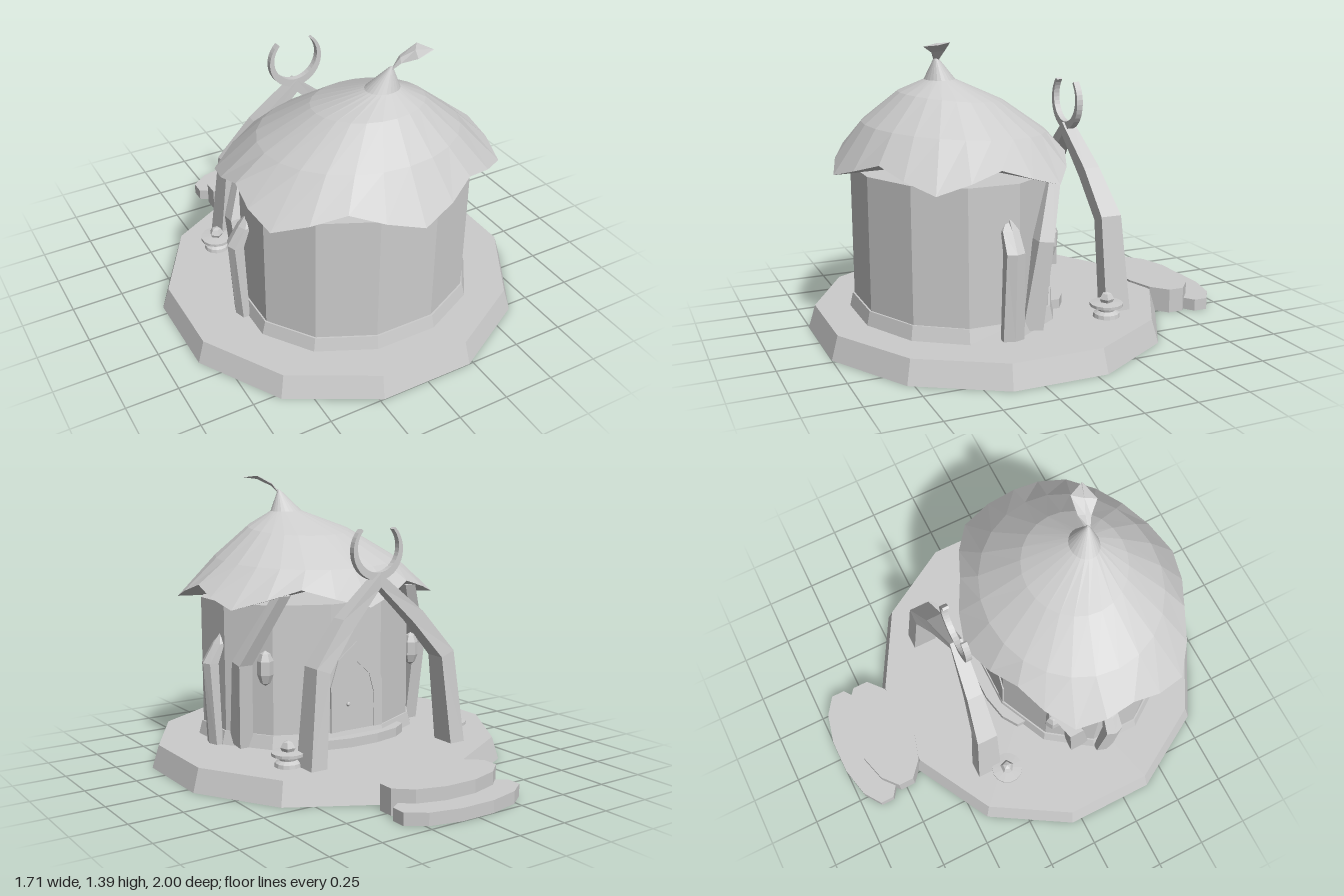
import * as THREE from 'three';

const stone = new THREE.MeshStandardMaterial({ color: 0xcccccc, side: THREE.DoubleSide });
stone.name = 'plain grey';

// Faceted normals
function faceted(geo) {
  const g = geo.index ? geo.toNonIndexed() : geo;
  g.computeVertexNormals();
  return g;
}

// Closed solid through matching cross-sections (arrays of [x, y, z])
function loft(sections) {
  const tris = [];
  const n = sections[0].length;
  for (let s = 0; s < sections.length - 1; s++) {
    for (let i = 0; i < n; i++) {
      const j = (i + 1) % n;
      const a = sections[s][i], b = sections[s][j];
      const c = sections[s + 1][j], d = sections[s + 1][i];
      tris.push([a, b, c], [a, c, d]);
    }
  }
  const first = sections[0], last = sections[sections.length - 1];
  for (let i = 1; i < n - 1; i++) {
    tris.push([first[0], first[i + 1], first[i]], [last[0], last[i], last[i + 1]]);
  }
  // Turn the faces outward using the sign of the volume
  const v = (p) => new THREE.Vector3(...p);
  let volume = 0;
  for (const [a, b, c] of tris) volume += v(a).dot(v(b).cross(v(c)));
  if (volume < 0) tris.forEach((t) => t.reverse());
  const geo = new THREE.BufferGeometry();
  geo.setAttribute('position', new THREE.Float32BufferAttribute(tris.flat(2), 3));
  return faceted(geo);
}

// Elliptical ring of points, raised at the front by tilt; wave scallops it with [radius factor, rise]
function ring(cx, cz, rx, rz, y, tilt = 0, wave = [[1, 0]]) {
  return Array.from({ length: 24 }, (_, i) => {
    const t = (i / 24) * Math.PI * 2;
    const [f, rise] = wave[i % wave.length];
    return [cx + Math.sin(t) * rx * f, y + rise + tilt * Math.cos(t), cz + Math.cos(t) * rz * f];
  });
}

export function createModel() {
  const model = new THREE.Group();
  model.name = 'hut';

  const add = (name, geo, x = 0, y = 0, z = 0) => {
    const m = new THREE.Mesh(geo, stone);
    m.name = name;
    m.position.set(x, y, z);
    model.add(m);
    return m;
  };
  const lathe = (points, sides, start = 0) => faceted(new THREE.LatheGeometry(
    points.map((p) => new THREE.Vector2(...p)), sides, start));

  // Twelve-sided elliptical slab with a flat side to the front
  const slab = (name, rx, rz, y0, y1, z, taper = 1) => {
    const g = new THREE.CylinderGeometry(taper, 1, y1 - y0, 12, 1, false, Math.PI / 12);
    g.scale(rx, 1, rz);
    return add(name, faceted(g), 0, (y0 + y1) / 2, z);
  };
  // The same slab, hollow from below
  const shell = (name, rx, rz, h, z, taper = 1) => {
    const g = lathe([[1, 0], [taper, h], [0, h]], 12, Math.PI / 12);
    g.scale(rx, 1, rz);
    return add(name, faceted(g), 0, 0, z);
  };

  // Platform, steps, plinth and wall
  shell('platform', 0.887, 0.86, 0.11, 0.17, 0.962);
  shell('upperStep', 0.305, 0.152, 0.12, -0.742);
  shell('lowerStep', 0.335, 0.135, 0.058, -0.87);
  slab('plinth', 0.585, 0.485, 0.11, 0.175, 0.345, 0.97);
  slab('wall', 0.56, 0.462, 0.11, 0.8, 0.345);
  slab('doorstep', 0.3, 0.115, 0.11, 0.155, -0.06);

  // Scalloped thatch roof with a leaning peak and a shallow underside
  const scallop = [[1, 0], [0.945, 0.045], [0.9, 0.09], [0.945, 0.045]];
  add('roof', loft([
    ring(0.004, 0.34, 0.01, 0.01, 0.8),
    ring(0.004, 0.34, 0.678, 0.568, 0.79, 0, scallop),
    ring(0.01, 0.332, 0.47, 0.425, 0.985, 0.025),
    ring(0.04, 0.357, 0.262, 0.242, 1.128, 0.024),
    ring(0.074, 0.42, 0.082, 0.07, 1.21),
    ring(0.1, 0.445, 0.006, 0.006, 1.315),
  ]));

  // Curled leaf on the peak
  add('leaf', loft([
    [[0.095, 1.3, 0.455], [0.105, 1.31, 0.445], [0.11, 1.3, 0.435]],
    [[0.13, 1.335, 0.475], [0.14, 1.35, 0.45], [0.155, 1.345, 0.42]],
    [[0.18, 1.368, 0.53], [0.2, 1.383, 0.475], [0.238, 1.388, 0.425]],
    [[0.273, 1.379, 0.506], [0.275, 1.382, 0.502], [0.275, 1.379, 0.498]],
  ]));

  // Door at the back: pointed frame, panel and knob
  const arch = (w, h) => {
    const s = new THREE.Shape();
    s.moveTo(-w, 0);
    s.lineTo(w, 0);
    s.lineTo(w, h * 0.55);
    s.lineTo(w * 0.72, h * 0.82);
    s.lineTo(0, h);
    s.lineTo(-w * 0.72, h * 0.82);
    s.lineTo(-w, h * 0.55);
    return s;
  };
  const frame = arch(0.15, 0.46);
  frame.holes.push(arch(0.1, 0.36));
  const thin = (depth) => ({ depth, bevelEnabled: false });
  add('doorFrame', faceted(new THREE.ExtrudeGeometry(frame, thin(0.009))), 0, 0.15, -0.108);
  add('door', faceted(new THREE.ExtrudeGeometry(arch(0.1, 0.36), thin(0.004))), 0, 0.15, -0.104);
  add('doorKnob', faceted(new THREE.IcosahedronGeometry(0.012)), 0.06, 0.31, -0.122);

  // Crescent on top of the gate
  const moon = new THREE.Shape();
  moon.absarc(0, 0, 0.14, Math.PI * 0.74, Math.PI * 2.26, false);
  moon.absarc(0, 0.014, 0.117, Math.PI * 2.24, Math.PI * 0.76, true);
  add('crescent', faceted(new THREE.ExtrudeGeometry(moon, { ...thin(0.03), curveSegments: 14 })), 0, 1.062, -0.28);

  for (const s of [1, -1]) {
    const side = s > 0 ? 'left' : 'right';

    // Bent gate leg: [x, y, half width in x, half width in y, front z, back z]
    const legs = [
      [0.4, 0.11, 0.042, 0, -0.265, -0.39],
      [0.355, 0.55, 0.036, 0.014, -0.257, -0.36],
      [0.2, 0.74, 0.026, 0.026, -0.248, -0.328],
      [0, 0.925, 0, 0.032, -0.238, -0.3],
    ];
    add(side + 'GateLeg', loft(legs.map(([x, y, a, b, f, k]) => [
      [s * (x - a), y - b, f], [s * (x + a), y + b, f],
      [s * (x + a), y + b, k], [s * (x - a), y - b, k],
    ])));

    // Pointed side post with a ridge outside: [inner x, outer x, y, half depth]
    const post = [
      [0.56, 0.608, 0.11, 0.05],
      [0.57, 0.632, 0.51, 0.042],
      [0.535, 0.575, 0.6, 0.038],
      [0.525, 0.535, 0.655, 0.004],
    ];
    add(side + 'Post', loft(post.map(([a, b, y, d]) => [
      [s * a, y, 0.275 - d], [s * (b - 0.016), y, 0.275 - d], [s * b, y, 0.275],
      [s * (b - 0.016), y, 0.275 + d], [s * a, y, 0.275 + d],
    ])));

    // Leaning beam: [x, y, z, half thickness, half depth]
    const beam = [
      [0.495, 0.11, 0.155, 0.035, 0.05],
      [0.515, 0.52, 0.1, 0.035, 0.036],
      [0.365, 0.85, -0.025, 0.03, 0.025],
    ];
    add(side + 'Beam', loft(beam.map(([x, y, z, w, d]) => [
      [s * (x - w), y, z - d], [s * (x + w), y, z - d],
      [s * (x + w), y + 0.012, z + d], [s * (x - w), y + 0.012, z + d],
    ])));

    // Hanging lantern on the beam
    add(side + 'Lantern', lathe([[0, -0.085], [0.024, -0.07], [0.039, -0.03],
      [0.039, 0.035], [0.024, 0.07], [0, 0.085]], 6), s * 0.43, 0.505, 0.03);

    // Ground lamp: foot, saucer and bulb
    add(side + 'GroundLamp', lathe([[0, -0.01], [0.065, -0.01], [0.06, 0.018], [0.04, 0.03], [0.045, 0.045],
      [0.078, 0.052], [0.078, 0.066], [0.03, 0.07], [0, 0.07]], 14), s * 0.475, 0.11, -0.245);
    add(side + 'LampBulb', lathe([[0, 0], [0.026, 0], [0.036, 0.02], [0.022, 0.045], [0, 0.052]], 5),
      s * 0.475, 0.176, -0.245);
  }
  return model;
}
